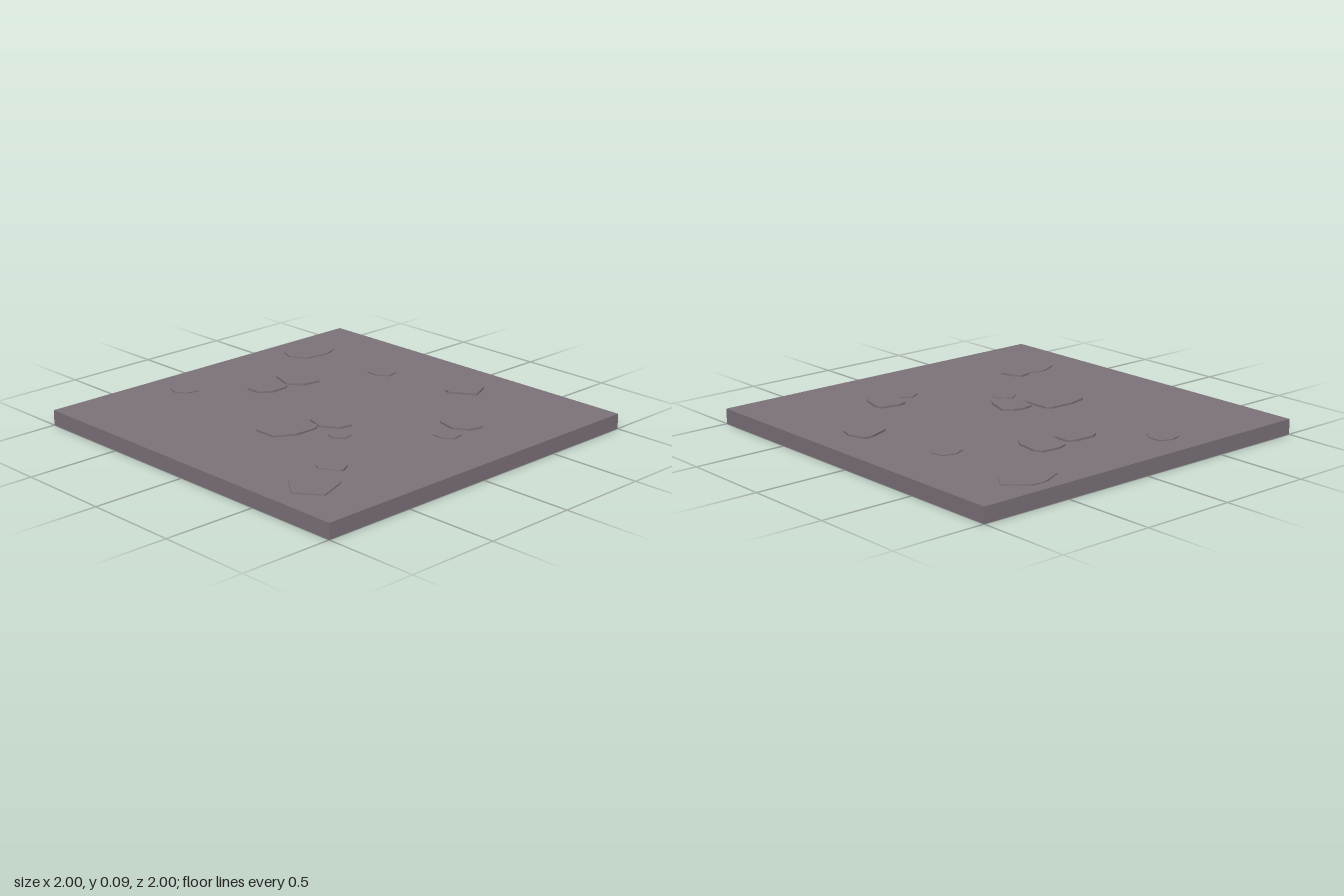
import * as THREE from 'three';

const SLAB_TOP = 0.08;

// Raised stones: top height and outline as x, z corner pairs
const STONES = [
  [0.09, [[.12, -.79], [.21, -.82], [.28, -.8], [.325, -.695], [.2, -.615], [.165, -.63], [.12, -.74]]],
  [0.09, [[.48, -.41], [.52, -.42], [.615, -.395], [.67, -.36], [.65, -.28], [.58, -.235], [.475, -.26], [.46, -.31]]],
  [0.09, [[-.6, -.295], [-.56, -.315], [-.445, -.3], [-.39, -.26], [-.405, -.165], [-.475, -.105], [-.595, -.145], [-.61, -.2]]],
  [0.09, [[-.55, -.095], [-.46, -.095], [-.435, -.065], [-.435, .03], [-.48, .09], [-.56, .09], [-.58, .05], [-.575, -.06]]],
  [0.09, [[.005, .06], [.05, .02], [.16, .055], [.205, .085], [.195, .155], [.105, .21], [.005, .18], [-.005, .13]]],
  [0.09, [[-.065, .21], [.09, .21], [.115, .24], [.115, .37], [.055, .47], [-.07, .47], [-.095, .375], [-.09, .235]]],
  [0.09, [[.52, .49], [.58, .48], [.61, .535], [.595, .56], [.515, .605], [.475, .585], [.465, .525]]],
  [0.086, [[-.88, -.46], [-.93, -.57], [-.93, -.66], [-.83, -.76], [-.73, -.69], [-.7, -.61], [-.72, -.48], [-.81, -.43]]],
  [0.086, [[.52, .8], [.47, .69], [.5, .6], [.61, .55], [.71, .65], [.765, .8], [.64, .89]]],
];

// Small flat pebbles: x, z, radius
const PEBBLES = [[-.28, -.62, .08], [-.79, .315, .08], [.25, .21, .064], [.61, -.168, .072]];

// Irregular seven-sided outline around a centre
function pebbleOutline([x, z, r]) {
  const reach = [1, .93, 1.04, .95, 1.02, .92, 1];
  return reach.map((k, i) => {
    const a = (i / reach.length) * Math.PI * 2 + x * 5;
    return [x + Math.cos(a) * r * k, z + Math.sin(a) * r * k];
  });
}

function stoneGeometry(outline, top) {
  const shape = new THREE.Shape(outline.map(([x, z]) => new THREE.Vector2(x, -z)));
  const geometry = new THREE.ExtrudeGeometry(shape, { depth: top - SLAB_TOP + 0.005, bevelEnabled: false });
  geometry.rotateX(-Math.PI / 2);
  geometry.translate(0, SLAB_TOP - 0.005, 0);
  return geometry;
}

export function createModel() {
  const model = new THREE.Group();
  model.name = 'stoneFloorTile';
  const stone = new THREE.MeshStandardMaterial({ color: 0x7d727b });
  stone.name = 'greyStone';

  // Square base slab
  const slab = new THREE.Mesh(new THREE.BoxGeometry(2, SLAB_TOP, 2), stone);
  slab.name = 'slab';
  slab.position.y = SLAB_TOP / 2;
  model.add(slab);

  // Stones standing slightly proud of the slab
  const add = (name, outline, top) => {
    const mesh = new THREE.Mesh(stoneGeometry(outline, top), stone);
    mesh.name = name;
    model.add(mesh);
  };
  STONES.forEach(([top, outline], i) => add(`raisedStone${i + 1}`, outline, top));
  PEBBLES.forEach((p, i) => add(`pebble${i + 1}`, pebbleOutline(p), 0.086));

  return model;
}
